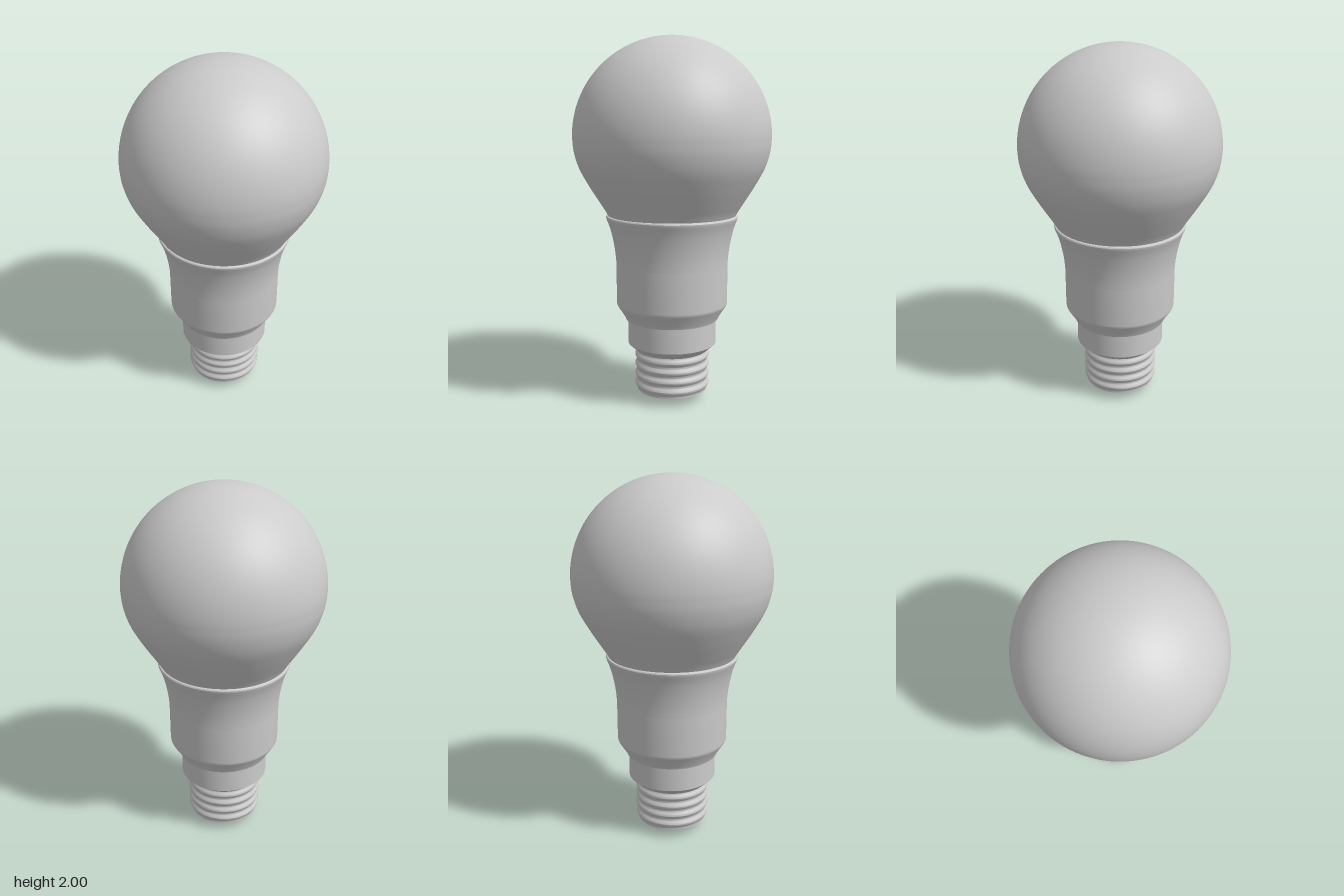
import * as THREE from 'three';
import { toCreasedNormals } from 'three/addons/utils/BufferGeometryUtils.js';

const SEGMENTS = 96;

// Turns a profile of [radius, height] pairs, listed bottom to top, around the y axis.
function turned(name, profile, material, crease = 0.45) {
  const points = profile.map(([r, y]) => new THREE.Vector2(r, y));
  const geometry = toCreasedNormals(new THREE.LatheGeometry(points, SEGMENTS), crease);
  const mesh = new THREE.Mesh(geometry, material);
  mesh.name = name;
  return mesh;
}

// Smooth curve through a few profile points.
function smooth(profile, divisions) {
  const curve = new THREE.SplineCurve(profile.map(([r, y]) => new THREE.Vector2(r, y)));
  return curve.getPoints(divisions).map((p) => [p.x, p.y]);
}

export function createModel() {
  const group = new THREE.Group();
  group.name = 'lightBulb';
  const grey = new THREE.MeshStandardMaterial({ color: 0xcccccc });
  const black = new THREE.MeshStandardMaterial({ color: 0x111111 });

  // Globe: flared neck running into a round dome
  const neck = smooth([[0.345, 1.03], [0.367, 1.07], [0.396, 1.115], [0.452, 1.205], [0.503, 1.3], [0.53, 1.39], [0.537, 1.466]], 30);
  const dome = [];
  for (let i = 1; i <= 32; i++) {
    const a = (i / 32) * Math.PI / 2;
    dome.push([i === 32 ? 0 : 0.537 * Math.cos(a), 1.466 + 0.534 * Math.sin(a)]);
  }
  group.add(turned('globe', [...neck, ...dome], grey));

  // Housing: chamfered foot, straight body, flared top with a rounded rim
  const flare = smooth([[0.308, 0.77], [0.313, 0.83], [0.324, 0.9], [0.341, 0.97], [0.361, 1.025]], 20);
  group.add(turned('housing', [
    [0.235, 0.46], [0.258, 0.46], [0.263, 0.474], [0.302, 0.535], [0.307, 0.545], [0.308, 0.555],
    ...flare, [0.362, 1.033], [0.359, 1.039], [0.353, 1.042], [0.34, 1.042],
  ], grey));

  // Collar stepping down to the screw base
  group.add(turned('collar', [
    [0.19, 0.275], [0.203, 0.283], [0.246, 0.322], [0.246, 0.465],
  ], grey));

  // Screw base: flat underside, rippled thread and plain top
  const thread = [];
  for (let i = 0; i <= 64; i++) {
    const t = i / 64;
    thread.push([0.202 - 0.006 * Math.cos(t * 4 * Math.PI * 2), 0.06 + t * 0.22]);
  }
  group.add(turned('screwBase', [[0, 0.05], [0.19, 0.05], [0.196, 0.052], ...thread, [0.196, 0.3]], grey, 0.7));

  // Contact: shallow black dome underneath
  const contact = [];
  for (let i = 0; i <= 12; i++) {
    const t = i / 12;
    contact.push([0.14 * t, 0.05 * t * t]);
  }
  group.add(turned('contact', contact, black));

  return group;
}
